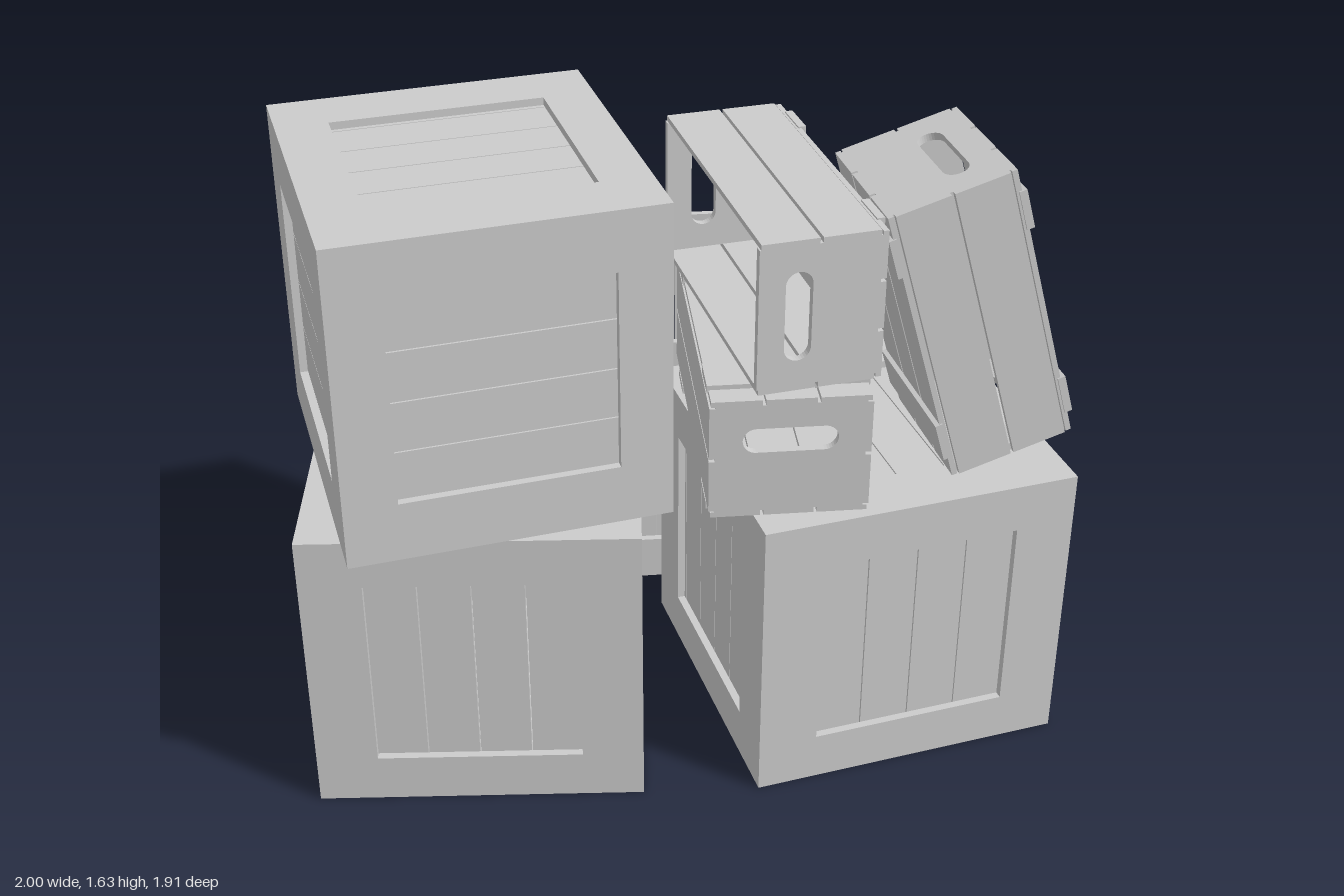
import * as THREE from 'three';

const material = new THREE.MeshStandardMaterial({ color: 0xcccccc, flatShading: true });
const S = 0.83, H = 0.795;      // large crate: width, height
const T = 0.02, LID = 0.04;     // board and lid thickness
const INNER = S - 2 * T;        // clear width inside the outer frames

function add(parent, name, geometry, x = 0, y = 0, z = 0) {
  const mesh = new THREE.Mesh(geometry, material);
  mesh.name = name;
  mesh.position.set(x, y, z);
  parent.add(mesh);
}

function box(parent, name, [w, h, d], [x, y, z]) {
  add(parent, name, new THREE.BoxGeometry(w, h, d), x, y, z);
}

// Row of upright planks in the XY plane, centred on the origin
function planks(name, count, width, height, thick, gap) {
  const g = new THREE.Group();
  g.name = name;
  const step = width / count;
  for (let i = 0; i < count; i++) {
    box(g, 'plank', [step - gap, height, thick], [(i - (count - 1) / 2) * step, 0, 0]);
  }
  return g;
}

// Rails across top and bottom with stiles between them
function frame(name, w, h, rail, stile) {
  const g = new THREE.Group();
  g.name = name;
  for (const s of [-1, 1]) {
    box(g, 'rail', [w, rail, T], [0, s * (h - rail) / 2, 0]);
    box(g, 'stile', [stile, h - 2 * rail, T], [s * (w - stile) / 2, 0, 0]);
  }
  return g;
}

// Square framed panel lying flat, frame upwards
function panel(name) {
  const g = new THREE.Group();
  g.name = name;
  const top = frame('panelFrame', INNER, INNER, 0.13, 0.13);
  const boards = planks('panelPlanks', 6, INNER, INNER, T, 0.003);
  top.rotation.x = boards.rotation.x = -Math.PI / 2;
  top.position.y = T / 2;
  boards.position.y = -T / 2;
  g.add(top, boards);
  return g;
}

// Large crate centred on its origin; the lid sits inside the rim
function largeCrate(name, closed) {
  const g = new THREE.Group();
  g.name = name;
  for (let i = 0; i < 4; i++) {
    const side = new THREE.Group();
    side.name = 'side';
    side.rotation.y = i * Math.PI / 2;
    const even = i % 2 === 0;
    const outer = frame('sideFrame', even ? S : INNER, H, 0.13, even ? 0.155 : 0.135);
    outer.position.z = S / 2 - T / 2;
    const wall = planks('wallPlanks', 6, even ? INNER : INNER - 0.05, H - 2 * LID, 0.025, 0.003);
    wall.position.z = INNER / 2 - 0.0125;
    side.add(outer, wall);
    g.add(side);
  }
  const base = panel('base');
  base.rotation.x = Math.PI;
  base.position.y = -H / 2 + LID / 2;
  g.add(base);
  if (closed) {
    const lid = panel('lid');
    lid.position.y = H / 2 - LID / 2;
    g.add(lid);
  }
  return g;
}

const W = 0.39, D = 0.295, L = 0.765; // small crate: width, depth, length
const SLAT = 0.014;

// End board with a rounded hand slot
function endBoard() {
  const w = W / 2 - SLAT, h = D / 2;
  const shape = new THREE.Shape([[-w, -h], [w, -h], [w, h], [-w, h]].map(p => new THREE.Vector2(...p)));
  const hole = new THREE.Path();
  const r = 0.033, c = 0.082, y = 0.05;
  hole.absarc(c, y, r, -Math.PI / 2, Math.PI / 2, false);
  hole.absarc(-c, y, r, Math.PI / 2, Math.PI * 1.5, false);
  hole.closePath();
  shape.holes.push(hole);
  return new THREE.ExtrudeGeometry(shape, { depth: T, bevelEnabled: false, curveSegments: 8 });
}

// Small slatted crate centred on its origin, opening upwards
function smallCrate(name, closed) {
  const g = new THREE.Group();
  g.name = name;
  const end = endBoard();
  for (const s of [-1, 1]) {
    add(g, 'endBoard', end, 0, 0, s * (L / 2 - T / 2) - T / 2);
    const side = planks('sideSlats', 2, D, L, SLAT, 0.008);
    side.rotation.set(Math.PI / 2, 0, Math.PI / 2, 'ZXY');
    side.position.x = s * (W / 2 - SLAT / 2);
    g.add(side);
  }
  // Slatted faces with two cross battens each
  for (const s of closed ? [-1, 1] : [-1]) {
    const face = planks(s < 0 ? 'baseSlats' : 'lidSlats', 3, W, L, SLAT, 0.008);
    face.rotation.x = Math.PI / 2;
    face.position.y = s * (D / 2 + SLAT / 2);
    g.add(face);
    for (const e of [-1, 1]) {
      box(g, 'batten', [W, T, 0.105], [0, s * (D / 2 + SLAT + T / 2 - 0.008), e * (L / 2 - 0.11)]);
    }
  }
  return g;
}

// Wraps a part so it can be pre-turned before it is placed
function turned(name, part, rx, ry) {
  const g = new THREE.Group();
  g.name = name;
  part.rotation.set(rx, ry, 0, 'YXZ');
  g.add(part);
  return g;
}

export function createModel() {
  const model = new THREE.Group();
  model.name = 'crateStack';
  const place = (part, x, y, z, turn, roll = 0) => {
    part.position.set(x, y, z);
    part.rotation.set(0, turn, roll);
    model.add(part);
  };

  // Ground layer
  place(largeCrate('lowerRightCrate', true), -0.51, H / 2, 0.435, 0);
  place(largeCrate('lowerLeftCrate', true), 0.485, H / 2, 0.33, 0.28);
  place(largeCrate('openBackCrate', false), 0.065, H / 2, -0.515, 0.07);
  place(turned('leaningLid', panel('lidPanel'), 0, Math.PI / 2), -0.55, 0.363, -0.455, 0.07, 1.1);

  // Open crate tipped on its side
  place(largeCrate('tippedCrate', false), -0.51, H + S / 2, 0.445, 0.27, -Math.PI / 2);

  // Small slatted crates
  place(smallCrate('flatSmallCrate', true), 0.235, 0.969, 0.39, 0.066);
  place(smallCrate('sidewaysSmallCrate', false), 0.222, 1.347, 0.385, 0.25, Math.PI / 2);
  // Stood on one end, leaning, with its lid facing sideways
  const upright = turned('leaningSmallCrate', smallCrate('uprightBody', true), -Math.PI / 2, -Math.PI / 2);
  place(upright, 0.69, 1.213, 0.41, 0.22, 0.28);
  return model;
}
